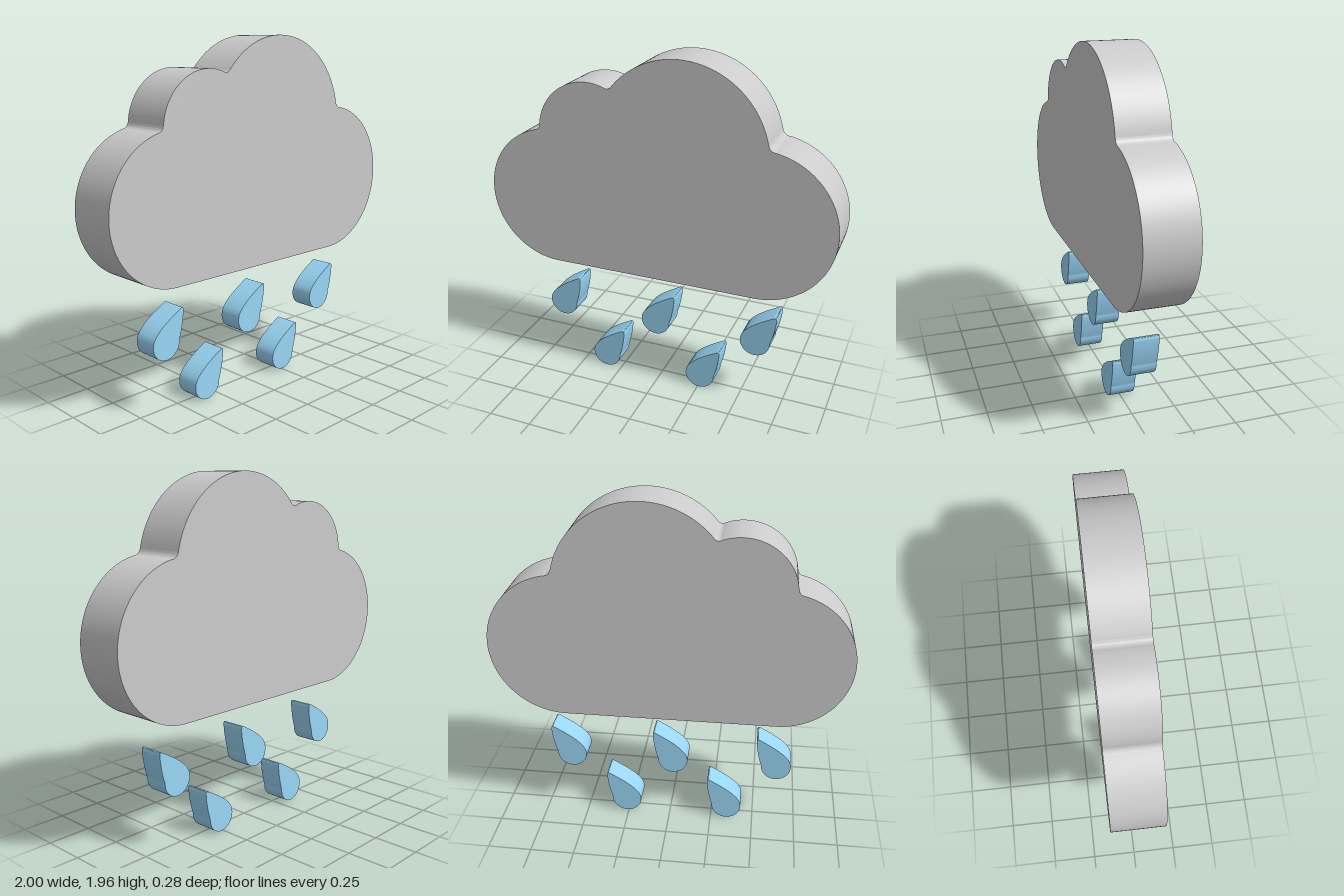
import * as THREE from 'three';
import { toCreasedNormals } from 'three/addons/utils/BufferGeometryUtils.js';

const grey = new THREE.MeshStandardMaterial({ color: 0xcccccc });
const blue = new THREE.MeshStandardMaterial({ color: 0x99d6f6 });

// Extrude an outline symmetrically about z = 0, smooth rim with sharp edges
function slab(shape, depth, curveSegments) {
  const geometry = new THREE.ExtrudeGeometry(shape, { depth, curveSegments, bevelEnabled: false });
  geometry.translate(0, 0, -depth / 2);
  return toCreasedNormals(geometry, 0.6);
}

// Four puffs, clockwise from the bottom left: centre, radius, start and end points.
// Consecutive puffs are joined by a small fillet through "notch".
const puffs = [
  { c: [-0.6, 1.113], r: 0.4, from: [-0.6, 0.713], to: [-0.70, 1.5], notch: [-0.673, 1.505] },
  { c: [-0.377, 1.503], r: 0.294, from: [-0.668, 1.535], to: [-0.275, 1.778], notch: [-0.247, 1.763] },
  { c: [0.14, 1.475], r: 0.486, from: [-0.225, 1.794], to: [0.615, 1.582], notch: [0.622, 1.547] },
  { c: [0.58, 1.133], r: 0.42, from: [0.66, 1.545], to: [0.58, 0.713] },
];

function cloudShape() {
  const shape = new THREE.Shape();
  const angle = (c, p) => Math.atan2(p[1] - c[1], p[0] - c[0]);
  puffs.forEach(({ c, r, from, to, notch }, i) => {
    shape.absarc(...c, r, angle(c, from), angle(c, to), true);
    if (notch) {
      const next = puffs[i + 1];
      const a = angle(next.c, next.from);
      shape.quadraticCurveTo(...notch, next.c[0] + next.r * Math.cos(a), next.c[1] + next.r * Math.sin(a));
    }
  });
  shape.closePath();
  return shape;
}

// Slanted teardrop with its lowest point at the origin
function dropShape() {
  const shape = new THREE.Shape();
  const r = 0.086;
  const a0 = 0.05, a1 = 2.5;
  shape.absarc(0, r, r, a0, a1, true);
  shape.bezierCurveTo(-0.035, 0.185, 0.04, 0.228, 0.098, 0.26);
  shape.quadraticCurveTo(0.117, 0.27, 0.117, 0.25);
  shape.bezierCurveTo(0.115, 0.2, 0.102, 0.135, r * Math.cos(a0), r + r * Math.sin(a0));
  return shape;
}

export function createModel() {
  const model = new THREE.Group();

  const cloud = new THREE.Mesh(slab(cloudShape(), 0.285, 40), grey);
  cloud.name = 'cloud';
  model.add(cloud);

  // Raindrops in two staggered rows
  const drops = new THREE.Group();
  drops.name = 'raindrops';
  const dropGeometry = slab(dropShape(), 0.14, 24);
  [[-0.622, 0.306], [-0.02, 0.306], [0.582, 0.306], [-0.342, 0], [0.26, 0]].forEach(([x, y], i) => {
    const drop = new THREE.Mesh(dropGeometry, blue);
    drop.name = `raindrop${i + 1}`;
    drop.position.set(x, y, 0);
    drops.add(drop);
  });
  model.add(drops);

  return model;
}
